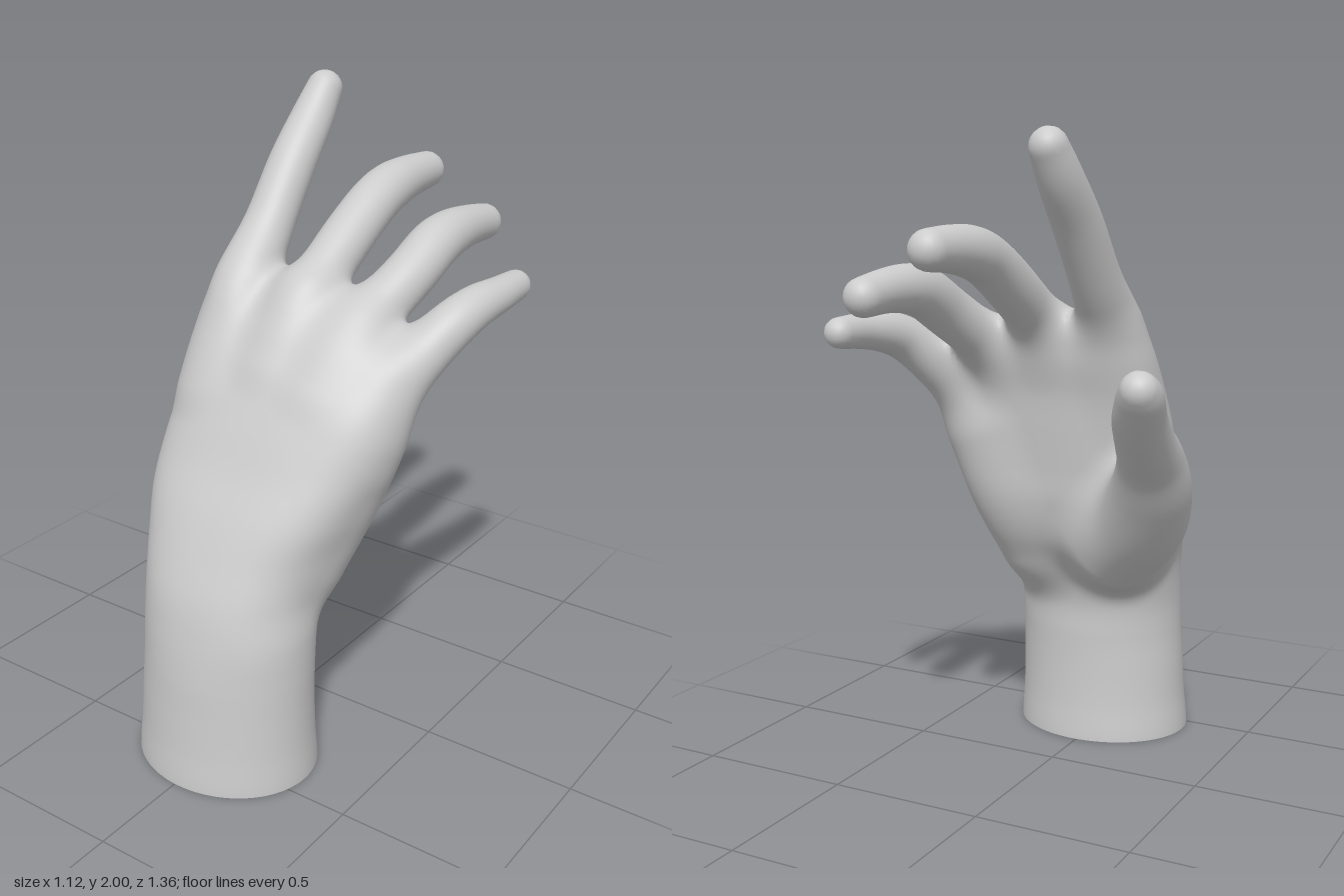
import * as THREE from 'three';

// Forearm and palm: horizontal slices every 0.12 in y: left x, right x, palm z, back z, squareness
const SLICE = 0.12;
const slices = [
  [-0.285, 0.31, 0.175, 0.68, 2], [-0.275, 0.303, 0.185, 0.668, 2], [-0.27, 0.3, 0.19, 0.658, 2],
  [-0.265, 0.3, 0.19, 0.648, 2], [-0.265, 0.298, 0.185, 0.63, 2.1], [-0.275, 0.29, 0.14, 0.602, 2.2],
  [-0.305, 0.315, 0.06, 0.552, 2.3], [-0.33, 0.36, 0.02, 0.492, 2.4], [-0.33, 0.395, 0.005, 0.42, 2.5],
  [-0.315, 0.41, -0.01, 0.355, 2.5], [-0.295, 0.4, -0.025, 0.283, 2.5], [-0.265, 0.35, -0.05, 0.19, 2.4],
  [-0.2, 0.16, -0.05, 0.08, 2],
];

// Limbs: blend width with the palm, then x, y, z, radius from the root to the tip
const limbs = {
  palmHeel: [0.12, [0.17, 0.67, 0.23, 0.12], [0.22, 0.85, 0.16, 0.125], [0.28, 1.05, 0.12, 0.115]],
  thumb: [0.1, [-0.16, 0.71, 0.16, 0.155], [-0.28, 0.82, 0.06, 0.145], [-0.36, 0.945, -0.05, 0.123],
    [-0.4, 1.05, -0.15, 0.1], [-0.425, 1.12, -0.25, 0.087], [-0.455, 1.205, -0.36, 0.078],
    [-0.49, 1.275, -0.44, 0.067], [-0.502, 1.302, -0.475, 0.055]],
  indexFinger: [0.07, [-0.17, 1.1, 0.18, 0.115], [-0.175, 1.25, 0.125, 0.11], [-0.18, 1.4, 0.06, 0.1],
    [-0.185, 1.56, -0.075, 0.08], [-0.185, 1.73, -0.2, 0.075], [-0.185, 1.85, -0.305, 0.068], [-0.18, 1.942, -0.372, 0.057]],
  middleFinger: [0.07, [0.03, 1.2, 0.16, 0.1], [0.035, 1.37, 0.06, 0.097], [0.045, 1.46, -0.05, 0.083],
    [0.05, 1.55, -0.18, 0.081], [0.055, 1.622, -0.3, 0.079], [0.055, 1.654, -0.4, 0.076], [0.055, 1.666, -0.51, 0.067], [0.055, 1.667, -0.62, 0.059]],
  ringFinger: [0.07, [0.18, 1.15, 0.165, 0.1], [0.215, 1.305, 0.06, 0.094], [0.245, 1.385, -0.05, 0.082],
    [0.275, 1.463, -0.17, 0.08], [0.285, 1.523, -0.28, 0.079], [0.287, 1.543, -0.37, 0.074], [0.287, 1.544, -0.48, 0.065], [0.285, 1.532, -0.6, 0.058]],
  littleFinger: [0.07, [0.3, 1.0, 0.17, 0.09], [0.36, 1.18, 0.075, 0.09], [0.42, 1.29, -0.025, 0.079],
    [0.465, 1.362, -0.11, 0.072], [0.488, 1.394, -0.2, 0.065], [0.503, 1.404, -0.3, 0.056], [0.505, 1.407, -0.412, 0.048]],
};

// Smooth each limb into a fine chain of tapered segments
function makeChain([name, [blend, ...points]]) {
  const path = new THREE.CatmullRomCurve3(points.map(p => new THREE.Vector3(p[0], p[1], p[2])), false, 'catmullrom');
  const girth = new THREE.CatmullRomCurve3(points.map(p => new THREE.Vector3(p[3], 0, 0)), false, 'catmullrom');
  const n = (points.length - 1) * 6;
  const nodes = path.getPoints(n), radii = girth.getPoints(n).map(v => v.x);
  const box = new THREE.Box3().setFromPoints(nodes).expandByScalar(0.32);
  return { name, blend, nodes, radii, box };
}

// Distance to the nearest round cone of the chain
function chainDistance({ nodes, radii, box }, x, y, z) {
  const { min, max } = box;
  if (x < min.x || x > max.x || y < min.y || y > max.y || z < min.z || z > max.z) return 1;
  let best = 1;
  for (let i = 0; i + 1 < nodes.length; i++) {
    const a = nodes[i], b = nodes[i + 1], taper = radii[i + 1] - radii[i];
    const ux = b.x - a.x, uy = b.y - a.y, uz = b.z - a.z;
    const px = x - a.x, py = y - a.y, pz = z - a.z;
    const uu = ux * ux + uy * uy + uz * uz, foot = (px * ux + py * uy + pz * uz) / uu;
    const side = Math.sqrt(Math.max(0, px * px + py * py + pz * pz - foot * foot * uu));
    const lean = taper / Math.sqrt(Math.max(0.1 * uu, uu - taper * taper));
    const t = Math.min(1, Math.max(0, foot + lean * side / Math.sqrt(uu)));
    best = Math.min(best, Math.sqrt(side * side + (foot - t) * (foot - t) * uu) - radii[i] - taper * t);
  }
  return best;
}

function sliceAt(y) {
  const last = slices.length - 1;
  const s = Math.min(last, Math.max(0, y / SLICE)), i = Math.min(last - 1, Math.floor(s)), t = s - i;
  const p0 = slices[Math.max(0, i - 1)], p1 = slices[i], p2 = slices[i + 1], p3 = slices[Math.min(last, i + 2)];
  return p1.map((b, c) => b + 0.5 * t * (p2[c] - p0[c]
    + t * (2 * p0[c] - 5 * b + 4 * p2[c] - p3[c] + t * (3 * (b - p2[c]) + p3[c] - p0[c]))));
}

function smoothMin(a, b, k) {
  const h = Math.max(0, k - Math.abs(a - b));
  return Math.min(a, b) - h * h / (4 * k);
}

// Forearm and palm with a rounded end between the knuckles
function palmDistance(x, y, z) {
  const [x0, x1, z0, z1, n] = sliceAt(y);
  const a = (x1 - x0) / 2, b = (z1 - z0) / 2;
  const u = Math.abs(x - (x0 + x1) / 2) / a, v = Math.abs(z - (z0 + z1) / 2) / b;
  const d = (Math.pow(Math.pow(u, n) + Math.pow(v, n), 1 / n) - 1) * Math.min(a, b);
  return -smoothMin(-d, 1.44 - y, 0.08);
}

export function createModel() {
  const group = new THREE.Group();
  const material = new THREE.MeshStandardMaterial({ color: 0xcccccc });
  const chains = Object.entries(limbs).map(makeChain);
  const field = (x, y, z) => chains.reduce((d, c) => smoothMin(d, chainDistance(c, x, y, z), c.blend), palmDistance(x, y, z));
  const gradient = (p, e) => new THREE.Vector3(
    field(p.x + e, p.y, p.z) - field(p.x - e, p.y, p.z),
    field(p.x, p.y + e, p.z) - field(p.x, p.y - e, p.z),
    field(p.x, p.y, p.z + e) - field(p.x, p.y, p.z - e)).divideScalar(2 * e);

  // Sample the blended hand on a grid
  const h = 0.016, size = [78, 130, 94], origin = [-0.616, -h / 2, -0.74];
  const stride = [1, size[0], size[0] * size[1]];
  const values = new Float32Array(size[0] * size[1] * size[2]);
  const eachCell = (visit) => {
    for (let k = 0, id = 0; k < size[2]; k++)
      for (let j = 0; j < size[1]; j++)
        for (let i = 0; i < size[0]; i++, id++) visit([i, j, k], id);
  };
  eachCell(([i, j, k], id) => {
    values[id] = field(origin[0] + i * h, origin[1] + j * h, origin[2] + k * h);
  });

  // One skin point per crossed cell, pulled onto the surface
  const corners = Array.from({ length: 8 }, (_, c) => [c & 1, (c >> 1) & 1, c >> 2]);
  const skin = new Map();
  eachCell((cell, id) => {
    if (cell.some((c, a) => c >= size[a] - 1)) return;
    const v = corners.map(c => values[id + c[0] + c[1] * stride[1] + c[2] * stride[2]]);
    if (v.every(s => s < 0) || v.every(s => s >= 0)) return;
    const sum = [0, 0, 0];
    let count = 0;
    for (let c = 0; c < 8; c++) for (const bit of [1, 2, 4]) {
      const e = c | bit;
      if (e === c || (v[c] < 0) === (v[e] < 0)) continue;
      const t = v[c] / (v[c] - v[e]);
      for (let a = 0; a < 3; a++) sum[a] += corners[c][a] + t * (corners[e][a] - corners[c][a]);
      count++;
    }
    const p = new THREE.Vector3(...sum.map((s, a) => origin[a] + (cell[a] + s / count) * h));
    for (let step = 0; step < 2; step++) {
      const g = gradient(p, 0.004);
      const move = THREE.MathUtils.clamp(field(p.x, p.y, p.z) / Math.max(0.2, g.lengthSq()), -h / 2, h / 2);
      p.addScaledVector(g, -move);
    }
    if (cell[1] === 0) p.y = 0;
    skin.set(id, { p, n: gradient(p, 0.012).normalize() });
  });

  // Join the points into quads, sorted by the part they belong to
  const parts = {};
  const partAt = ({ x, y, z }) => {
    let name = y < 0.55 ? 'forearm' : 'palm', best = palmDistance(x, y, z);
    for (const c of chains) {
      const d = chainDistance(c, x, y, z);
      if (d < best) { best = d; name = c.name; }
    }
    return name;
  };
  eachCell((cell, id) => {
    for (let a = 0; a < 3; a++) {
      const u = (a + 1) % 3, v = (a + 2) % 3;
      if (cell[a] >= size[a] - 1 || cell[u] < 1 || cell[v] < 1) continue;
      const inside = values[id] < 0;
      if (inside === (values[id + stride[a]] < 0)) continue;
      const q = [id, id - stride[u], id - stride[u] - stride[v], id - stride[v]].map(c => skin.get(c));
      if (q.includes(undefined)) continue;
      if (!inside) q.reverse();
      const part = parts[partAt(q[0].p)] ??= { position: [], normal: [] };
      for (const c of [0, 1, 2, 0, 2, 3]) {
        part.position.push(q[c].p.x, q[c].p.y, q[c].p.z);
        part.normal.push(q[c].n.x, q[c].n.y, q[c].n.z);
      }
    }
  });
  for (const [name, part] of Object.entries(parts)) {
    const geometry = new THREE.BufferGeometry();
    for (const key of ['position', 'normal']) geometry.setAttribute(key, new THREE.Float32BufferAttribute(part[key], 3));
    const mesh = new THREE.Mesh(geometry, material);
    mesh.name = name;
    group.add(mesh);
  }

  // Flat cut at the bottom of the forearm
  const [x0, x1, z0, z1] = slices[0];
  const base = new THREE.Mesh(new THREE.CircleGeometry(1, 96).rotateX(Math.PI / 2)
    .scale((x1 - x0) / 2, 1, (z1 - z0) / 2).translate((x0 + x1) / 2, 0, (z0 + z1) / 2), material);
  base.name = 'forearmBase';
  group.add(base);
  return group;
}
